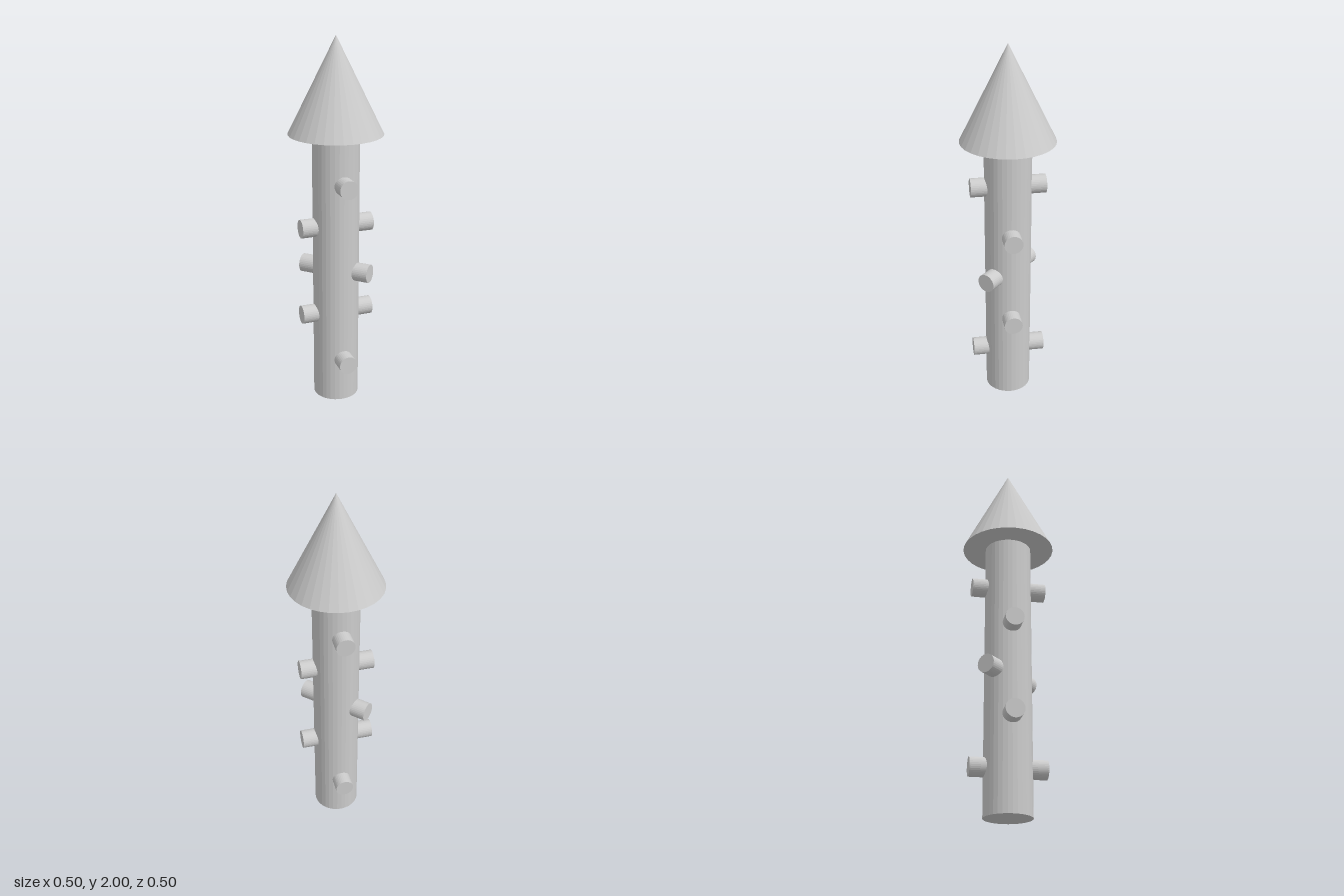
import * as THREE from 'three';

export function createModel() {
  const group = new THREE.Group();
  const material = new THREE.MeshStandardMaterial({ color: 0xcccccc, flatShading: true });

  const add = (name, geometry, y) => {
    const mesh = new THREE.Mesh(geometry, material);
    mesh.name = name;
    mesh.position.y = y;
    group.add(mesh);
    return mesh;
  };

  // Round shaft and pointed roof
  add('shaft', new THREE.CylinderGeometry(0.125, 0.125, 1.5, 32), 0.75);
  add('coneTip', new THREE.ConeGeometry(0.25, 0.5, 32), 1.75);

  // Rods through the shaft: height and heading (0 = along z, PI / 2 = along x)
  const rod = new THREE.CylinderGeometry(0.05, 0.05, 0.4, 32).rotateX(Math.PI / 2);
  const rods = [
    [0.25, 0],
    [0.5, Math.PI / 2],
    [0.75, Math.PI / 4],
    [1.0, Math.PI / 2],
    [1.25, 0],
  ];
  rods.forEach(([y, heading], i) => {
    add(`crossRod${i + 1}`, rod, y).rotation.y = heading;
  });

  return group;
}
